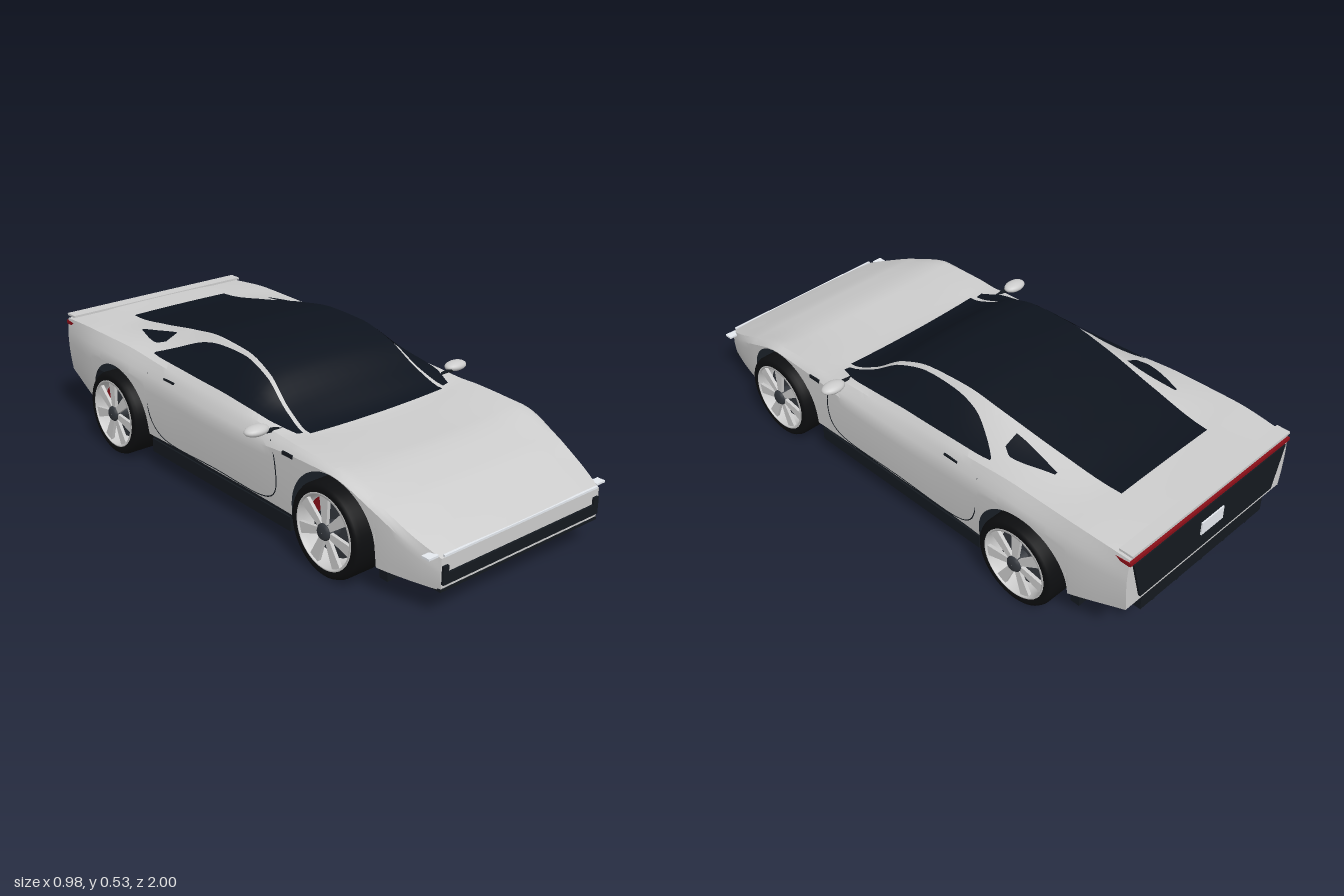
import * as THREE from 'three';
import { toCreasedNormals } from 'three/addons/utils/BufferGeometryUtils.js';

const mat = (color) => new THREE.MeshStandardMaterial({ color, side: THREE.DoubleSide });
const M = {
  paint: mat(0xcccccc), glass: mat(0x0d131d), black: mat(0x14191f), tyre: mat(0x0d0e10),
  red: mat(0x8a0f18), light: mat(0xe4e8ee), dark: mat(0x33373d),
};

// Body stations, nose to tail:
// z, sill x, belt x, belt y, shoulder x, shoulder y, glass edge x, glass edge y, centre y
const BODY = [
  [1.0, .345, .352, .165, .35, .206, .27, .213, .215],
  [.9, .375, .385, .22, .375, .25, .27, .258, .26],
  [.78, .4, .41, .285, .39, .303, .27, .307, .308],
  [.6, .418, .425, .344, .4, .358, .27, .346, .342],
  [.42, .415, .425, .34, .4, .367, .28, .352, .342],
  [.35, .413, .425, .335, .395, .368, .295, .352, .345],
  [.24, .411, .425, .325, .393, .375, .285, .392, .4],
  [.11, .41, .425, .32, .392, .38, .265, .475, .487],
  [-.02, .41, .425, .32, .392, .386, .255, .513, .524],
  [-.18, .41, .425, .325, .395, .395, .25, .52, .528],
  [-.34, .412, .428, .335, .398, .407, .245, .5, .506],
  [-.56, .42, .437, .346, .402, .424, .23, .459, .464],
  [-.77, .405, .428, .345, .405, .425, .214, .428, .43],
  [-.985, .365, .4, .34, .394, .412, .2, .424, .426],
];

// Monotone cubic interpolation through rows whose first value is z (descending)
function sample(rows, z) {
  let i = 0;
  while (i < rows.length - 2 && z < rows[i + 1][0]) i++;
  const slope = (k, c) => (rows[k + 1][c] - rows[k][c]) / (rows[k + 1][0] - rows[k][0]);
  const tangent = (k, c) => {
    if (k === 0) return slope(0, c);
    if (k === rows.length - 1) return slope(k - 1, c);
    const a = slope(k - 1, c), b = slope(k, c);
    return a * b <= 0 ? 0 : (2 * a * b) / (a + b);
  };
  const h = rows[i + 1][0] - rows[i][0], t = (z - rows[i][0]) / h, s = 1 - t;
  return rows[i].map((p, c) => c === 0 ? z
    : p * s * s * (1 + 2 * t) + rows[i + 1][c] * t * t * (3 - 2 * t)
      + h * t * s * (tangent(i, c) * s - tangent(i + 1, c) * t));
}

// Lower edge of the body side, cut by the wheel arches
const WHEEL_Y = .157, ARCH = .185, AXLES = [.597, -.59];
function bottomY(z) {
  for (const a of AXLES) {
    const d = z - a;
    if (Math.abs(d) <= ARCH) return WHEEL_Y + Math.sqrt(Math.max(0, ARCH * ARCH - d * d));
  }
  if (z > .7) return .1;
  return z < -.77 ? .13 + (-.77 - z) * .33 : .13;
}

// Half section from sill to centre line
const LOW = 6, BELT = 3, SIDE = 4, TOP = 5, EDGE = LOW + BELT + SIDE;
function section(z) {
  const [, xb, xw, yw, xs, ys, xe, ye, yc] = sample(BODY, z);
  const pts = [], y0 = Math.min(bottomY(z), yw - .001), lerp = THREE.MathUtils.lerp;
  for (let i = 0; i < LOW; i++) {
    const y = lerp(y0, yw, i / LOW), k = (yw - y) / (yw - .1);
    pts.push([xw + (xb - xw) * k * k, y]);
  }
  for (let i = 0; i < BELT; i++) {
    const a = i / BELT;
    pts.push([xw + (xs - xw) * a * (.6 + .4 * a), lerp(yw, ys, a)]);
  }
  for (let i = 0; i < SIDE; i++) pts.push([lerp(xs, xe, i / SIDE), lerp(ys, ye, i / SIDE)]);
  for (let i = 0; i <= TOP; i++) {
    const a = i / TOP;
    pts.push([xe * (1 - a), yc + (ye - yc) * (1 - a) ** 2]);
  }
  return pts;
}
const fullSection = (z) => {
  const h = section(z);
  return [...h, ...h.slice(0, -1).reverse().map(([x, y]) => [-x, y])];
};

// Skin over rows of [x, y, z] points
function skin(rows, crease = .5) {
  const n = rows[0].length, index = [];
  for (let r = 0; r < rows.length - 1; r++)
    for (let c = 0; c < n - 1; c++) {
      const a = r * n + c, b = a + n;
      index.push(a, b, a + 1, b, b + 1, a + 1);
    }
  const g = new THREE.BufferGeometry();
  g.setAttribute('position', new THREE.Float32BufferAttribute(rows.flat(2), 3));
  g.setIndex(index);
  return toCreasedNormals(g, crease);
}
const range = (a, b, n) => Array.from({ length: n + 1 }, (_, i) => a + (b - a) * i / n);

// x of the body side at a given height
function sideX(y, z) {
  const s = section(z);
  for (let i = 0; i < EDGE; i++)
    if (y <= s[i + 1][1]) return s[i][0] + (s[i + 1][0] - s[i][0]) * (y - s[i][1]) / (s[i + 1][1] - s[i][1]);
  return s[EDGE][0];
}

// Window lying on the cabin side; rows are z, lower and upper fraction from shoulder to glass edge
function sideGlass(rows) {
  return skin(range(rows[0][0], rows[rows.length - 1][0], 28).map((z) => {
    const [, lo, hi] = sample(rows, z), [, , , , xs, ys, xe, ye] = sample(BODY, z);
    return range(lo, hi, 4).map((t) => [xs + (xe - xs) * t + .003, ys + (ye - ys) * t + .004, z]);
  }));
}

export function createModel() {
  const model = new THREE.Group();
  model.name = 'sportsCar';
  const add = (name, geo, material, pos = [0, 0, 0], parent = model) => {
    const m = new THREE.Mesh(geo, material);
    m.name = name;
    m.position.set(...pos);
    parent.add(m);
    return m;
  };
  const box = (name, w, h, d, pos, material = M.black, parent = model) =>
    add(name, new THREE.BoxGeometry(w, h, d), material, pos, parent);
  const polygon = (pts) => new THREE.Shape(pts.map(([x, y]) => new THREE.Vector2(x, y)));

  // Body shell with extra stations around the arches
  const zs = range(1, -.985, 70);
  for (const a of AXLES) {
    zs.push(a + ARCH + .0005, a - ARCH - .0005);
    for (const t of range(0, Math.PI, 28)) zs.push(a + ARCH * Math.cos(t));
  }
  zs.sort((a, b) => b - a);
  add('bodyShell', skin(zs.map((z) => fullSection(z).map(([x, y]) => [x, y, z]))), M.paint);
  add('noseFace', new THREE.ShapeGeometry(polygon(fullSection(1))), M.paint, [0, 0, .998]);
  add('tailFace', new THREE.ShapeGeometry(polygon(fullSection(-.985))), M.paint, [0, 0, -.983]);

  // Windscreen, roof and rear glass in one strip
  add('roofGlass', skin(range(.355, -.8, 50).map((z) =>
    fullSection(z).slice(EDGE, EDGE + 2 * TOP + 1).map(([x, y]) => [x, y + .005, z]))), M.glass);

  // Nose details
  box('grille', .69, .036, .012, [0, .137, 1]);
  box('noseLip', .7, .01, .2, [0, .1, .9]);
  box('headlightStrip', .68, .007, .008, [0, .212, .999], M.light);

  // Tail details
  const tail = new THREE.ExtrudeGeometry(polygon([[-.335, .225], [.335, .225], [.38, .385], [-.38, .385]]),
    { depth: .008, bevelEnabled: false });
  add('tailPanel', tail, M.black, [0, 0, -.992]);
  box('tailLight', .796, .012, .014, [0, .398, -.985], M.red);
  box('spoilerLip', .785, .008, .05, [0, .426, -.967], M.paint);
  box('numberPlate', .11, .05, .006, [0, .31, -.994], M.light);
  box('rearBumper', .62, .055, .11, [0, .168, -.925]);
  for (const x of [-.24, -.12, 0, .12, .24]) box('diffuserFin', .012, .035, .1, [x, .145, -.925]);

  // Underbody
  box('floor', .62, .05, 1.6, [0, .08, 0]);
  box('floorKeel', .32, .022, 1.3, [0, .044, 0]);
  box('noseFloor', .66, .012, .2, [0, .103, .88]);
  box('frontSplitter', .75, .05, .035, [0, .078, .79]);
  box('rearValance', .74, .05, .035, [0, .083, -.775]);
  for (const z of [-.4, -.13, .13, .4]) box('floorRib', .6, .012, .012, [0, .05, z]);

  // Parts on each side, built for +x and mirrored
  for (const s of [1, -1]) {
    const side = new THREE.Group();
    side.name = s > 0 ? 'leftSide' : 'rightSide';
    side.scale.x = s;
    model.add(side);
    add('sideWindow', sideGlass([[.34, .6, .85], [.24, .25, .9], [.1, .15, .92], [0, .14, .92],
      [-.14, .13, .88], [-.25, .13, .77], [-.36, .13, .42], [-.41, .15, .19]]), M.glass, [0, 0, 0], side);
    add('quarterWindow', sideGlass([[-.42, .52, .84], [-.46, .4, .82], [-.61, .6, .66]]), M.glass, [0, 0, 0], side);

    // Door seam, handle and fender vent
    const seam = [[.3, .35], [.33, .31], [.335, .2], [.31, .16], [.25, .138], [0, .137], [-.3, .138],
      [-.36, .17], [-.39, .23], [-.395, .37]].map(([z, y]) => new THREE.Vector3(sideX(y, z), y, z));
    add('doorSeam', new THREE.TubeGeometry(new THREE.CatmullRomCurve3(seam), 60, .002, 4), M.black, [0, 0, 0], side);
    box('doorHandle', .006, .007, .06, [sideX(.372, -.27) + .001, .372, -.27], M.black, side);
    box('fenderVent', .006, .012, .05, [sideX(.337, .4), .337, .4], M.black, side);
    box('sideSkirt', .1, .05, .79, [.362, .088, 0], M.black, side);
    box('sillFiller', .1, .03, .8, [.356, .122, 0], M.black, side);
    box('grilleEnd', .022, .06, .012, [.335, .15, 1], M.black, side);
    box('headlightTip', .04, .007, .03, [.372, .212, .975], M.light, side);
    box('tailLightEnd', .006, .012, .06, [.396, .397, -.957], M.red, side);

    // Mirror
    const shell = add('mirrorShell', new THREE.SphereGeometry(1, 24, 14), M.paint, [.445, .381, .27], side);
    shell.scale.set(.046, .018, .03);
    const arm = box('mirrorArm', .09, .01, .016, [.385, .37, .28], M.black, side);
    arm.rotation.z = .12;

    AXLES.forEach((z, i) => {
      // Wheel, built facing +z then turned outward
      const wheel = new THREE.Group();
      wheel.name = i ? 'rearWheel' : 'frontWheel';
      wheel.position.set(i ? .389 : .381, WHEEL_Y, z);
      wheel.rotation.y = Math.PI / 2;
      side.add(wheel);
      const turned = (name, pts, material) => add(name, new THREE.LatheGeometry(
        pts.map(([r, h]) => new THREE.Vector2(r, h)), 48), material, [0, 0, 0], wheel).rotation.x = Math.PI / 2;
      turned('tyre', [[.122, -.062], [.14, -.067], [.152, -.062], [.157, -.05], [.157, .05],
        [.152, .062], [.14, .067], [.124, .064]], M.tyre);
      turned('rim', [[.118, -.06], [.116, .045], [.12, .068], [.127, .066]], M.paint);
      turned('brakeDisc', [[.001, .02], [.098, .02], [.098, .008], [.001, .008]], M.dark);
      turned('wheelBack', [[.001, -.045], [.12, -.045]], M.tyre);
      turned('hub', [[.001, .074], [.022, .073], [.028, .066], [.028, 0]], M.dark);
      const blade = new THREE.ExtrudeGeometry(polygon([[-.01, .02], [.01, .02], [.024, .12], [-.016, .12]]),
        { depth: .012, bevelEnabled: false });
      for (let k = 0; k < 7; k++) add('spoke', blade, M.paint, [0, 0, .05], wheel).rotation.z = k * Math.PI * 2 / 7;
      const caliper = new THREE.RingGeometry(.07, .105, 10, 1, .3, .8);
      add('brakeCaliper', caliper, M.red, [0, 0, .032], wheel);
    });
  }
  return model;
}
